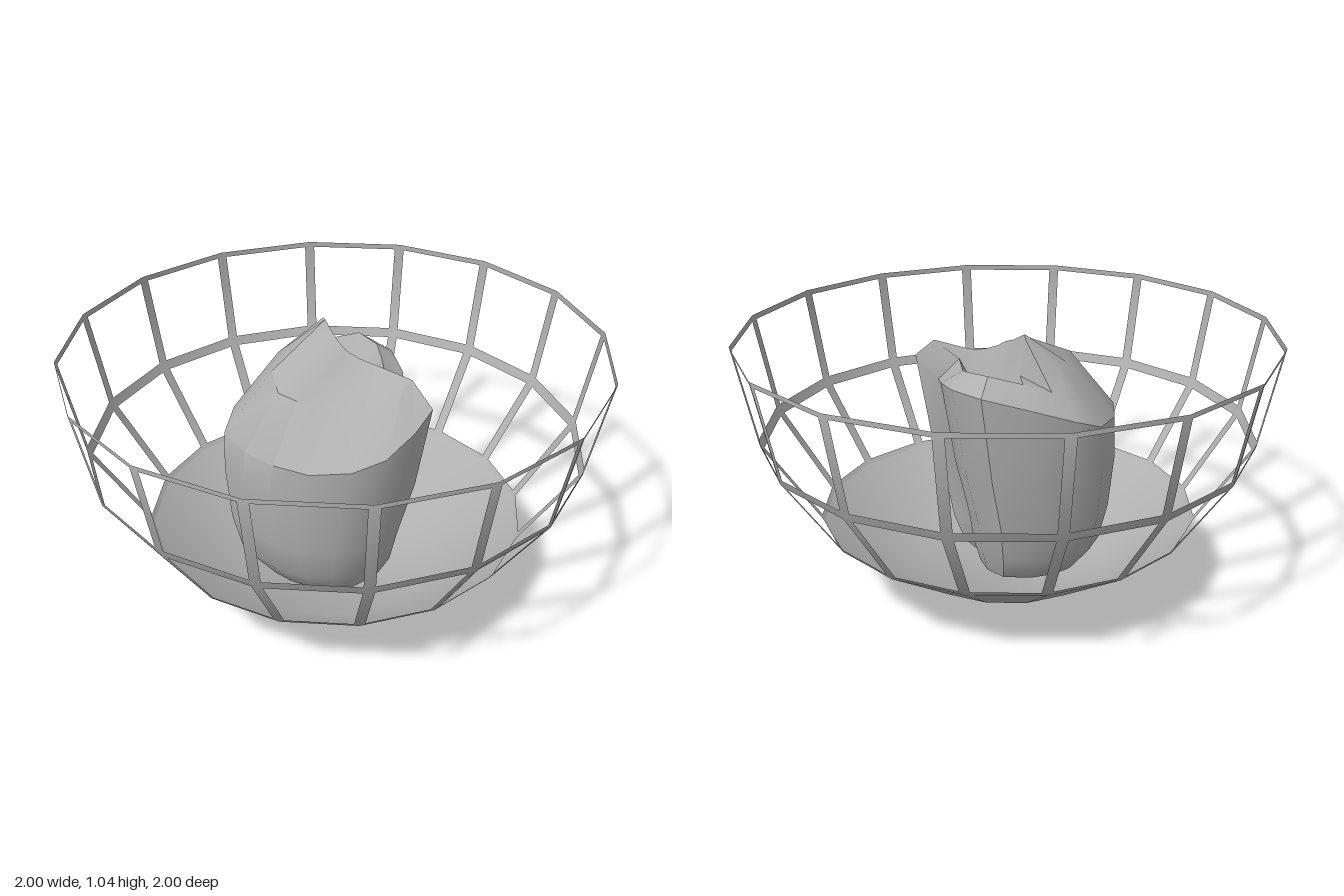
import * as THREE from 'three';
import { toCreasedNormals } from 'three/addons/utils/BufferGeometryUtils.js';

const SIDES = 16, LIFT = 0.006, BAR = 0.02;
const grey = new THREE.MeshStandardMaterial({ color: 0xb0b0b0, side: THREE.DoubleSide });
grey.name = 'plainGrey';

// Point on the hemisphere: ring 0 is the bottom, ring 4 the rim
function spherePoint(ring, i) {
  const t = ring * Math.PI / 8, a = i * 2 * Math.PI / SIDES;
  return new THREE.Vector3(Math.sin(t) * Math.cos(a), 1 - Math.cos(t) + LIFT, Math.sin(t) * Math.sin(a));
}

// Geometry from points and triangle indices
function build(points, index) {
  const g = new THREE.BufferGeometry().setFromPoints(points);
  g.setIndex(index);
  g.computeVertexNormals();
  return g;
}

// Open dish that closes the lower half of the hemisphere
function makeBowl() {
  const profile = [0, 1, 2].map(r => {
    const t = r * Math.PI / 8;
    return new THREE.Vector2(Math.sin(t), 1 - Math.cos(t) + LIFT);
  });
  return new THREE.LatheGeometry(profile, SIDES);
}

// One band of window frames: each facet keeps only a thin border
function makeFrameBand(ring) {
  const points = [], index = [];
  for (let i = 0; i < SIDES; i++) {
    const a = spherePoint(ring, i), b = spherePoint(ring, i + 1);
    const c = spherePoint(ring + 1, i + 1), d = spherePoint(ring + 1, i);
    const v = BAR / a.distanceTo(d);
    const inset = (from, to, w) => from.clone().lerp(to, BAR / w);
    const left = k => a.clone().lerp(d, k), right = k => b.clone().lerp(c, k);
    const l0 = left(v), r0 = right(v), l1 = left(1 - v), r1 = right(1 - v);
    const w0 = l0.distanceTo(r0), w1 = l1.distanceTo(r1);
    const base = points.length;
    points.push(a, b, c, d, inset(l0, r0, w0), inset(r0, l0, w0), inset(r1, l1, w1), inset(l1, r1, w1));
    for (let k = 0; k < 4; k++) {
      const n = (k + 1) % 4, [p, q, r, s] = [k, n, n + 4, k + 4].map(x => x + base);
      index.push(p, r, q, p, s, r);
    }
  }
  const g = build(points, index);
  // Smooth shading around the sphere's centre
  points.forEach((p, i) => {
    const n = p.clone().sub(new THREE.Vector3(0, 1 + LIFT, 0)).normalize();
    g.attributes.normal.setXYZ(i, n.x, n.y, n.z);
  });
  return g;
}

// Crumpled lump: rounded body, irregular shoulder, ridge with a crease behind it
function makeLump() {
  const shoulder = [
    [.39, .86, -.06], [.38, .80, .03], [.35, .74, .16], [.27, .70, .25],
    [.14, .68, .33], [0, .68, .36], [-.14, .68, .355], [-.28, .69, .31],
    [-.37, .70, .16], [-.405, .72, 0], [-.37, .77, -.12], [-.27, .83, -.25],
    [-.12, .87, -.34], [.02, .87, -.32], [.13, .85, -.24], [.25, .80, -.1]];
  const upper = [
    [.29, .94, -.07], [.28, .92, -.03], [.22, .89, .04], [.14, .86, .12],
    [.07, .86, .18], [0, .88, .22], [-.08, .89, .23], [-.17, .92, .16],
    [-.25, .92, .03], [-.25, .93, -.05], [-.27, .86, -.12], [-.2, .90, -.2],
    [-.1, .93, -.27], [0, .92, -.25], [.06, .90, -.2], [.15, .90, -.1]];
  const ridge = [
    [.14, .94, -.08], [.12, .94, -.08], [.1, .94, -.08], [.05, .95, -.07],
    [0, .97, -.06], [-.03, .99, -.06], [-.08, 1.01, -.08], [-.13, 1.04, -.1],
    [-.14, 1.045, -.1], [-.15, 1.03, -.11], [-.14, .90, -.13], [-.12, .82, -.17],
    [-.08, .80, -.18], [-.03, .78, -.17], [.02, .78, -.14], [.08, .82, -.11]];
  // Body levels: scale of the shoulder outline, height, x shift, z shift
  const levels = [[.35, .04, -.02, .03], [.6, .085, -.02, .04], [.76, .18, -.03, .05],
    [.84, .32, -.03, .05], [.94, .54, -.02, .025]];
  const rings = levels.map(([s, y, dx, dz]) => shoulder.map(p => [p[0] * s + dx, y, p[2] * s + dz]));
  rings.push(shoulder, upper, ridge);

  const points = rings.flat().map(p => new THREE.Vector3(...p)), index = [];
  const bottom = points.push(new THREE.Vector3(-.02, .03, .03)) - 1;
  const crease = points.push(new THREE.Vector3(-.02, .75, -.13)) - 1;
  const last = (rings.length - 1) * SIDES;
  for (let i = 0; i < SIDES; i++) {
    const n = (i + 1) % SIDES;
    for (let j = 0; j < rings.length - 1; j++) {
      const a = j * SIDES + i, b = j * SIDES + n;
      index.push(a, a + SIDES, b, b, a + SIDES, b + SIDES);
    }
    index.push(bottom, i, n, crease, last + n, last + i);
  }
  return toCreasedNormals(build(points, index), 0.6);
}

export function createModel() {
  const model = new THREE.Group();
  const add = (name, geometry) => {
    const mesh = new THREE.Mesh(geometry, grey);
    mesh.name = name;
    model.add(mesh);
  };
  add('bowl', makeBowl());
  add('lowerFrameBand', makeFrameBand(2));
  add('upperFrameBand', makeFrameBand(3));
  add('crumpledLump', makeLump());
  return model;
}
